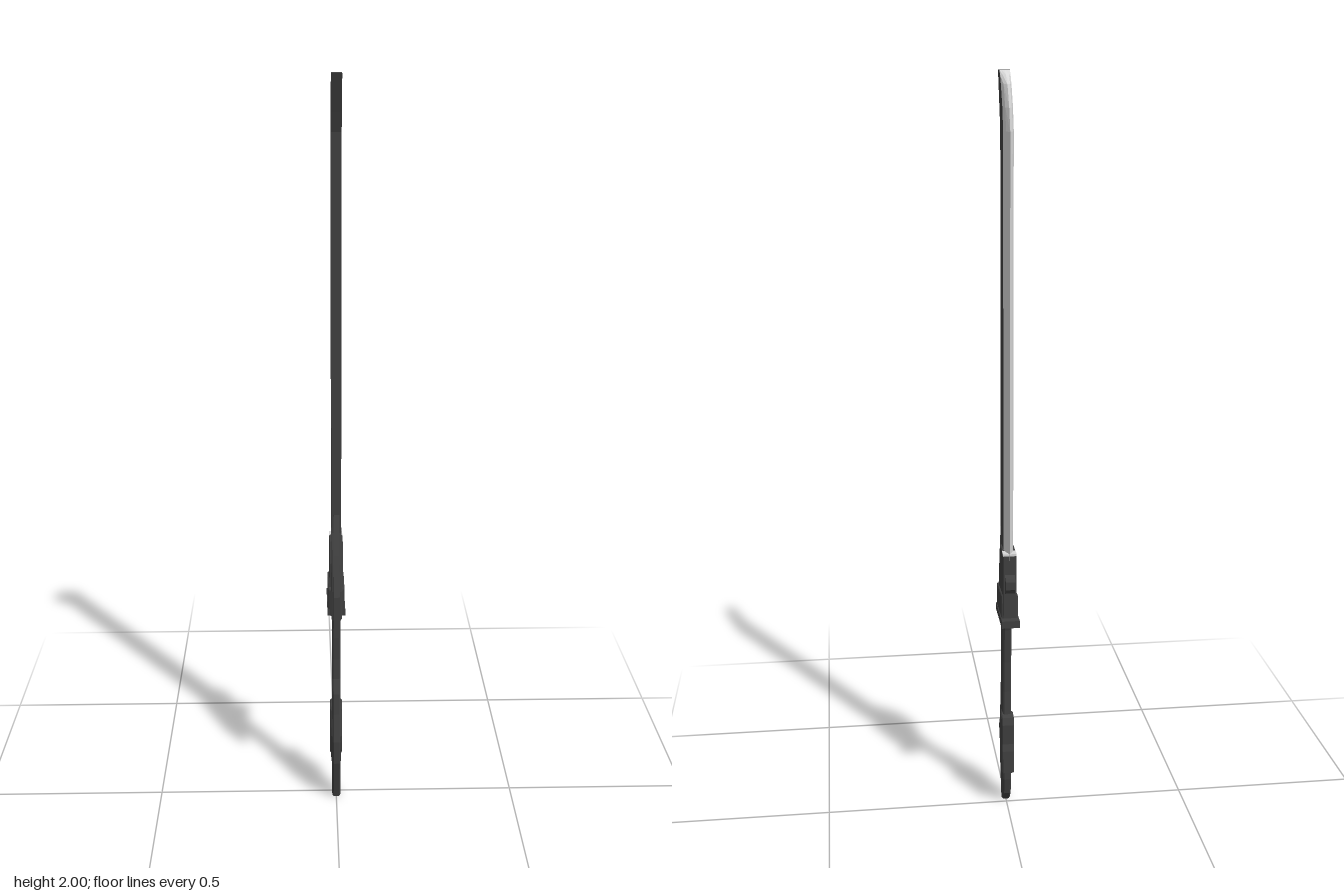
import * as THREE from 'three';

export function createModel() {
  const sword = new THREE.Group();
  sword.name = 'sword';
  const dark = new THREE.MeshStandardMaterial({ color: 0x404040, flatShading: true });
  dark.name = 'dark steel';
  const light = new THREE.MeshStandardMaterial({ color: 0xd8d8d8, flatShading: true });
  light.name = 'bright steel';

  const add = (name, geometry, material = dark) => {
    const mesh = new THREE.Mesh(geometry, material);
    mesh.name = name;
    sword.add(mesh);
    return mesh;
  };

  // Side profile of [z, y] points, extruded across x to a half width, with chamfered rims
  const slab = (name, points, half, bevel = 0) => {
    const shape = new THREE.Shape(points.map(([z, y]) => new THREE.Vector2(z, y)));
    const depth = 2 * (half - bevel);
    const geometry = new THREE.ExtrudeGeometry(shape, {
      depth, bevelEnabled: bevel > 0, bevelSize: bevel, bevelThickness: bevel,
      bevelOffset: -bevel, bevelSegments: 1,
    });
    geometry.translate(0, 0, -depth / 2).rotateY(-Math.PI / 2);
    return add(name, geometry);
  };
  const box = (name, w, h, d, x, y, z, material) =>
    add(name, new THREE.BoxGeometry(w, h, d).translate(x, y, z), material);

  // Blade: dark spine slab and a bright ground edge
  const bladeRows = [ // y, start of bevel z, cutting edge z
    [0.76, -0.04, -0.076], [1.86, -0.04, -0.076], [1.915, -0.024, -0.055],
    [1.968, 0.006, -0.02], [1.99, 0.024, 0.012], [2, 0.036, 0.034],
  ];
  slab('bladeSpine', [
    [0.02, 0.6], [0.02, 1.86], [0.036, 1.91], [0.066, 2],
    ...bladeRows.slice().reverse().map(([y, z]) => [z, y]), [-0.04, 0.6],
  ], 0.013);

  const section = ([y, z0, z1]) => {
    const mid = z0 + (z1 - z0) * 0.55;
    return [[0.013, y, z0], [0.008, y, mid], [0, y, z1], [-0.008, y, mid], [-0.013, y, z0]];
  };
  const edgePoints = [];
  for (let i = 0; i < bladeRows.length - 1; i++) {
    const a = section(bladeRows[i]), b = section(bladeRows[i + 1]);
    for (let j = 0; j < 4; j++) {
      edgePoints.push(...a[j], ...a[j + 1], ...b[j], ...a[j + 1], ...b[j + 1], ...b[j]);
    }
  }
  const edge = new THREE.BufferGeometry();
  edge.setAttribute('position', new THREE.Float32BufferAttribute(edgePoints, 3));
  edge.computeVertexNormals();
  add('cuttingEdge', edge, light);

  // Guard: swept fin, core, wider lower cheeks and foot plate
  slab('guardFin', [
    [0.018, 0.87], [0.06, 0.765], [0.097, 0.66], [0.097, 0.54], [0.045, 0.58], [0, 0.6],
  ], 0.008);
  slab('finRoot', [
    [0.015, 0.83], [0.045, 0.73], [0.062, 0.66], [0.062, 0.575], [0, 0.6],
  ], 0.014, 0.003);
  slab('guardCore', [
    [0.043, 0.58], [0.043, 0.655], [0.022, 0.655], [0.008, 0.74], [-0.002, 0.78],
    [-0.045, 0.78], [-0.074, 0.772], [-0.076, 0.58],
  ], 0.018, 0.002);
  slab('guardCheeks', [
    [0.036, 0.58], [0.036, 0.655], [-0.07, 0.66], [-0.076, 0.58],
  ], 0.022, 0.002);
  box('guardFoot', 0.048, 0.02, 0.133, 0, 0.587, -0.03);
  slab('guardCatch', [
    [-0.07, 0.725], [-0.083, 0.712], [-0.096, 0.708], [-0.096, 0.686], [-0.083, 0.68], [-0.07, 0.66],
  ], 0.013);
  box('guardCap', 0.036, 0.006, 0.03, 0, 0.776, -0.06, light);

  // Handle: waisted grip swelling into the pommel
  slab('grip', [
    [0.042, 0.58], [0.038, 0.53], [0.03, 0.44], [0.032, 0.38], [0.048, 0.34], [0.054, 0.28],
    [0.069, 0.2], [0.066, 0.13], [0.05, 0.07], [0.03, 0], [0.014, 0], [-0.008, 0.03],
    [-0.02, 0.08], [-0.022, 0.14], [-0.018, 0.27], [-0.014, 0.35], [-0.016, 0.44],
    [-0.026, 0.54], [-0.04, 0.58],
  ], 0.0115, 0.004);
  slab('pommelCheeks', [
    [0.062, 0.215], [0.012, 0.285], [0.008, 0.1],
  ], 0.014, 0.003);
  slab('pommelPad', [
    [0.008, 0.27], [-0.004, 0.285], [-0.034, 0.28], [-0.04, 0.26], [-0.036, 0.2],
    [-0.041, 0.18], [-0.041, 0.113], [-0.02, 0.113], [0.002, 0.13],
  ], 0.017, 0.003);

  return sword;
}
